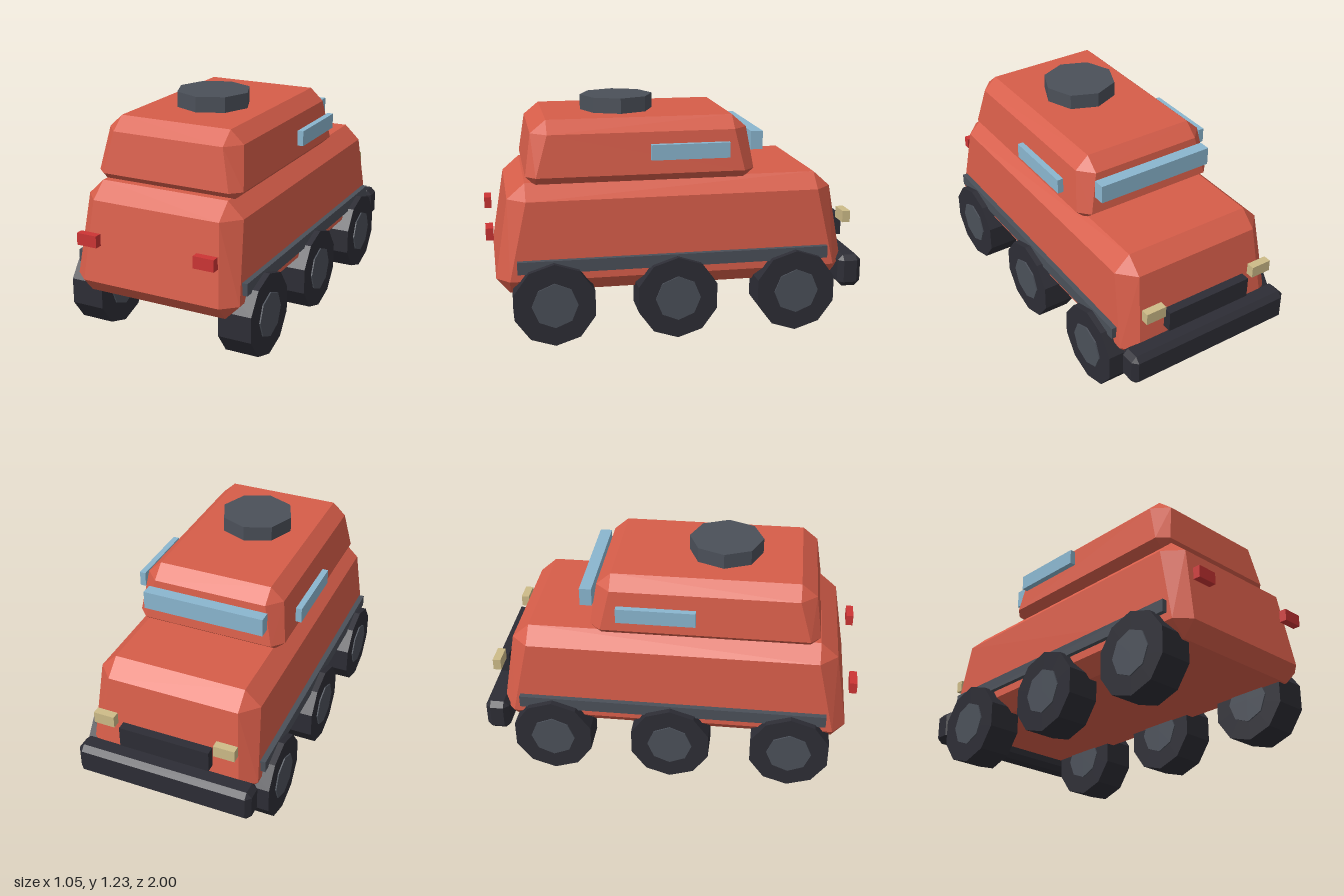
import * as THREE from 'three';
import { ConvexGeometry } from 'three/addons/geometries/ConvexGeometry.js';

const mat = (name, color) => {
  const m = new THREE.MeshStandardMaterial({ color });
  m.name = name;
  return m;
};

// Chamfered, tapered block. Each level: [y, outerX, innerX, outerBack, innerBack, outerFront, innerFront].
// The lowest and highest levels are the flat caps: [y, x, back, front].
function chamferedBlock(bottom, lower, upper, top) {
  const points = [];
  for (const s of [-1, 1]) {
    for (const [y, x, back, front] of [bottom, top]) {
      for (const z of [back, front]) points.push(new THREE.Vector3(s * x, y, z));
    }
    for (const [y, ox, ix, ob, ib, of, inf] of [lower, upper]) {
      for (const [x, z] of [[ox, ib], [ix, ob], [ox, inf], [ix, of]]) {
        points.push(new THREE.Vector3(s * x, y, z));
      }
    }
  }
  return new ConvexGeometry(points);
}

export function createModel() {
  const group = new THREE.Group();
  const red = mat('body red', 0xd65d49);
  const rubber = mat('dark rubber', 0x2d2d35);
  const slate = mat('slate grey', 0x4b5059);
  const glass = mat('pale blue glass', 0x8ab6cf);
  const lampCream = mat('headlight cream', 0xcdbb88);
  const lampRed = mat('tail light red', 0xcc3434);

  const add = (name, geometry, material, x = 0, y = 0, z = 0) => {
    const mesh = new THREE.Mesh(geometry, material);
    mesh.name = name;
    mesh.position.set(x, y, z);
    group.add(mesh);
    return mesh;
  };
  // Box given by its extents along each axis
  const box = (name, material, [x0, x1], [y0, y1], [z0, z1]) =>
    add(name, new THREE.BoxGeometry(x1 - x0, y1 - y0, z1 - z0), material,
      (x0 + x1) / 2, (y0 + y1) / 2, (z0 + z1) / 2);
  // Prism with flat facets, its axis along y
  const prism = (radius, length, sides) =>
    new THREE.CylinderGeometry(radius, radius, length, sides).toNonIndexed();
  const facet = (geometry) => { geometry.computeVertexNormals(); return geometry; };

  // Hull and cabin
  add('hull', chamferedBlock(
    [0.25, 0.387, 0.888, -0.84],
    [0.33, 0.465, 0.387, 0.957, 0.888, -0.908, -0.84],
    [0.742, 0.44, 0.355, 0.888, 0.795, -0.84, -0.75],
    [0.823, 0.355, 0.795, -0.75]), red);
  add('cabin', chamferedBlock(
    [0.806, 0.355, 0.738, -0.355],
    [0.856, 0.41, 0.355, 0.79, 0.738, -0.415, -0.355],
    [1.072, 0.38, 0.308, 0.757, 0.675, -0.382, -0.305],
    [1.139, 0.308, 0.675, -0.305]), red);

  // Roof hatch
  add('roofHatch', facet(prism(0.197, 0.09, 8)), slate, 0, 1.175, 0.27);

  // Bumper and grille
  add('bumper', chamferedBlock(
    [0.198, 0.457, -0.9, -0.972],
    [0.226, 0.485, 0.457, -0.872, -0.9, -1, -0.972],
    [0.346, 0.485, 0.457, -0.872, -0.9, -1, -0.972],
    [0.374, 0.457, -0.9, -0.972]), rubber);
  box('grille', rubber, [-0.247, 0.247], [0.428, 0.543], [-0.957, -0.908]);

  // Windscreen
  box('windscreen', glass, [-0.33, 0.33], [0.95, 1.048], [-0.47, -0.406]);

  // Parts mirrored on both sides
  const tyre = facet(prism(0.22, 0.18, 10).rotateY(Math.PI / 2).rotateZ(Math.PI / 2));
  const hub = facet(prism(0.12, 0.194, 8).rotateZ(Math.PI / 2));
  for (const [s, side] of [[1, 'left'], [-1, 'right']]) {
    const span = (a, b) => (s > 0 ? [a, b] : [-b, -a]);
    box(side + 'SideWindow', glass, span(0.429, 0.461), [0.938, 1.018], [-0.262, 0.15]);
    box(side + 'SideRail', slate, span(0.43, 0.487), [0.374, 0.439], [-0.8, 0.85]);
    box(side + 'Headlight', lampCream, span(0.273, 0.386), [0.537, 0.6], [-0.957, -0.914]);
    box(side + 'TailLight', lampRed, span(0.273, 0.386), [0.537, 0.6], [0.96, 1]);
    for (const [z, place] of [[-0.62, 'Front'], [0.022, 'Middle'], [0.666, 'Rear']]) {
      add(side + place + 'Tyre', tyre, rubber, s * 0.43, 0.2095, z);
      add(side + place + 'Hub', hub, slate, s * 0.43, 0.2095, z);
    }
  }
  return group;
}
